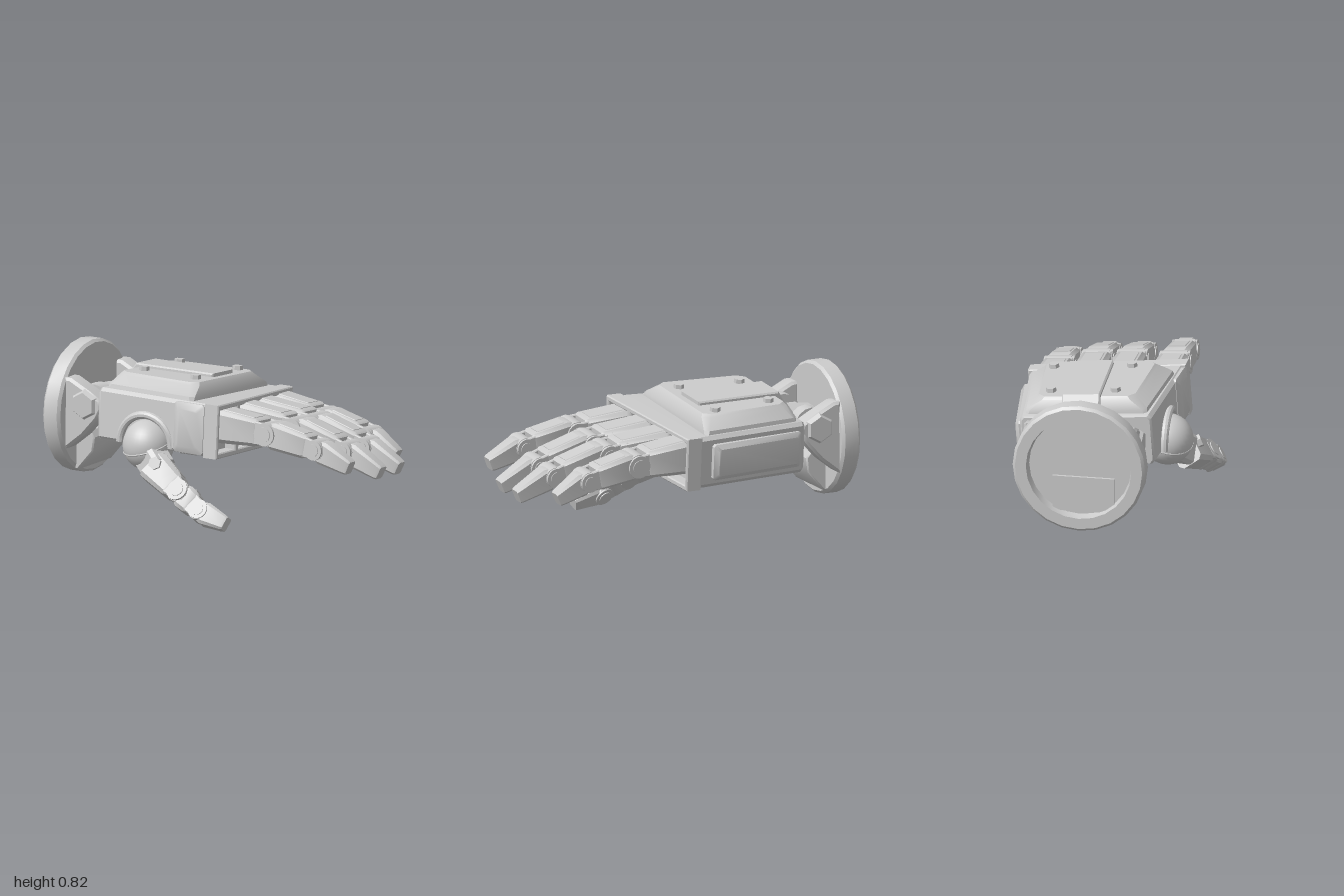
import * as THREE from 'three';
import { toCreasedNormals } from 'three/addons/utils/BufferGeometryUtils.js';

const material = new THREE.MeshStandardMaterial({ color: 0xcccccc });
const TILT = 0.078;

function add(parent, name, geometry, x = 0, y = 0, z = 0) {
  const mesh = new THREE.Mesh(toCreasedNormals(geometry, 0.6), material);
  mesh.name = name;
  mesh.position.set(x, y, z);
  parent.add(mesh);
  return mesh;
}

// Chamfered rectangles [x, height, width, chamfer, yOffset] joined along x
function loft(sections) {
  const rings = sections.map(([x, h, w, c, oy = 0]) => {
    const a = h / 2, b = w / 2;
    return [[a, b - c], [a - c, b], [c - a, b], [-a, b - c], [-a, c - b], [c - a, -b], [a - c, -b], [a, c - b]]
      .map(([y, z]) => [x, y + oy, z]);
  });
  const pos = [];
  const tri = (a, b, c) => pos.push(...a, ...b, ...c);
  for (let k = 0; k < rings.length - 1; k++) {
    for (let i = 0; i < 8; i++) {
      const j = (i + 1) % 8;
      tri(rings[k][i], rings[k][j], rings[k + 1][j]);
      tri(rings[k][i], rings[k + 1][j], rings[k + 1][i]);
    }
  }
  const first = rings[0], last = rings[rings.length - 1];
  for (let i = 1; i < 7; i++) {
    tri(last[0], last[i], last[i + 1]);
    tri(first[0], first[i + 1], first[i]);
  }
  const g = new THREE.BufferGeometry();
  g.setAttribute('position', new THREE.Float32BufferAttribute(pos, 3));
  g.computeVertexNormals();
  return g;
}

// Moves every vertex by a rule
function warp(g, rule) {
  const p = g.attributes.position, v = new THREE.Vector3();
  for (let i = 0; i < p.count; i++) {
    rule(v.fromBufferAttribute(p, i));
    p.setXYZ(i, v.x, v.y, v.z);
  }
  g.computeVertexNormals();
  return g;
}
const flare = (v) => { v.z *= 1 + 0.24 * (v.x - 0.05); };
const skew = (v) => { v.x += 0.08 * v.z; };

function extrude(points, depth, bevel = 0.008, holes = []) {
  const shape = new THREE.Shape(points.map(([x, y]) => new THREE.Vector2(x, y)));
  for (const h of holes) shape.holes.push(new THREE.Path(h.map(([x, y]) => new THREE.Vector2(x, y))));
  const g = new THREE.ExtrudeGeometry(shape, {
    depth: depth - 2 * bevel, bevelSize: bevel, bevelThickness: bevel, bevelOffset: -bevel, bevelSegments: 1,
  });
  return g.translate(0, 0, bevel - depth / 2);
}
const rect = (x0, x1, y0, y1) => [[x0, y0], [x1, y0], [x1, y1], [x0, y1]];
const pin = (r, len, sides = 20) => new THREE.CylinderGeometry(r, r, len, sides).rotateX(Math.PI / 2);

// A jointed finger through points p, hinged about one axis
function chain(name, p, hinge, size) {
  const group = new THREE.Group();
  group.name = name;
  for (let i = 0; i < 3; i++) {
    const [h0, w0, h1, w1] = size[i];
    const d = p[i + 1].clone().sub(p[i]);
    const len = d.length();
    const x = d.normalize();
    const z = hinge.clone().addScaledVector(x, -hinge.dot(x)).normalize();
    const part = new THREE.Group();
    part.name = ['baseSegment', 'middleSegment', 'tipSegment'][i];
    part.quaternion.setFromRotationMatrix(new THREE.Matrix4().makeBasis(x, z.clone().cross(x), z));
    part.position.copy(p[i]);
    group.add(part);
    const s = i ? 0.04 : 0, e = i < 2 ? len - 0.05 : len;
    const c0 = h0 * 0.13, c1 = h1 * 0.13;
    const rings = [[s, h0, w0, c0], [e - 0.015, h1, w1, c1], [e, h1 * 0.88, w1 * 0.88, c1 * 0.8]];
    if (i) rings.unshift([s - 0.03, h0 * 0.85, w0 * 0.85, c0 * 0.8]);
    add(part, 'shell', loft(rings));
    if (i === 2) continue;
    // raised cover over the back of the segment
    add(part, 'cover', loft([[s + 0.02, 0.03, w0 * 0.66, 0.006, h0 / 2 - 0.011],
      [e - 0.035, 0.03, w1 * 0.66, 0.006, h1 / 2 - 0.011]]));
    // cheeks reaching forward to the hinge, with round caps
    for (const side of [-1, 1]) {
      add(part, 'cheek', loft([[e - 0.06, h1 * 0.9, 0.024, 0.005], [len + 0.01, h1 * 0.78, 0.024, 0.005]]),
        0, 0, side * (w1 / 2 - 0.016));
      add(part, 'hingeDisc', pin(h1 * 0.42, 0.028), len, 0, side * (w1 / 2 - 0.015));
      add(part, 'hingeCap', pin(h1 * 0.27, 0.02), len, 0, side * (w1 / 2 - 0.006));
    }
    add(part, 'hingeBarrel', pin(h1 * 0.44, w1 * 0.8), len, 0, 0);
  }
  return group;
}

function wrist() {
  const g = new THREE.Group();
  g.name = 'wrist';
  const profile = [[0, -0.95], [0.28, -0.95], [0.29, -1], [0.35, -1], [0.365, -0.985], [0.365, -0.905],
    [0.35, -0.89], [0, -0.89]];
  add(g, 'wristDisc', new THREE.LatheGeometry(profile.map(([r, y]) => new THREE.Vector2(r, y)), 24)
    .rotateZ(-Math.PI / 2), 0, 0.46, -0.07);
  add(g, 'discInset', new THREE.BoxGeometry(0.02, 0.2, 0.34), -0.955, 0.3, -0.05);
  // lower wedge
  add(g, 'wristWedge', extrude([[-0.9, 0.14], [-0.88, 0.14], [-0.785, 0.25], [-0.775, 0.33], [-0.8, 0.365], [-0.9, 0.365]],
    0.34), 0, 0, -0.05);
  // paired hinge lugs and their hex bolts
  const lug = [[-0.9, 0.27], [-0.88, 0.28], [-0.78, 0.36], [-0.69, 0.46], [-0.66, 0.52], [-0.67, 0.57],
    [-0.74, 0.61], [-0.86, 0.67], [-0.9, 0.67]];
  for (const s of [-1, 1]) {
    add(g, 'outerLug', extrude(lug, 0.11, 0.015), 0, 0, -0.08 + s * 0.255);
    add(g, 'innerLug', pin(0.1, 0.08, 16), -0.77, 0.53, -0.08 + s * 0.17);
    add(g, 'hexBolt', new THREE.CylinderGeometry(0.07, 0.088, 0.025, 6).rotateX(s * Math.PI / 2),
      -0.77, 0.535, -0.08 + s * 0.315);
  }
  add(g, 'wristCore', new THREE.BoxGeometry(0.22, 0.18, 0.28), -0.73, 0.49, -0.08);
  return g;
}

function palm() {
  const g = new THREE.Group();
  g.name = 'palm';
  g.position.set(0, 0.485, -0.085);
  g.rotation.x = -TILT;
  add(g, 'palmBody', warp(loft([[-0.65, 0.27, 0.85, 0.02], [-0.635, 0.287, 0.87, 0.02], [0.06, 0.287, 0.845, 0.02]]),
    (v) => { flare(v); if (v.x > 0) skew(v); }));
  // knuckle frame with four finger sockets
  const sockets = [[0.212, 0.405], [-0.016, 0.175], [-0.21, -0.036], [-0.408, -0.23]];
  add(g, 'knuckleFrame', warp(
    extrude(rect(-0.43, 0.43, -0.148, 0.148), 0.09, 0.006, sockets.map(([a, b]) => rect(a, b, -0.118, 0.118)))
      .rotateY(-Math.PI / 2).translate(0.083, 0, 0), skew));
  // sloped back cover with a ridge and four bolts
  add(g, 'backCover', warp(loft([[0.13, 0.585, 0.8, 0.015], [0.165, 0.58, 0.785, 0.025], [0.215, 0.53, 0.65, 0.04],
    [0.23, 0.505, 0.62, 0.04]]).rotateZ(Math.PI / 2).translate(-0.325, 0, 0), flare));
  add(g, 'backStrip', extrude([[-0.9, 0.03], [-0.7, 0.03], [-0.58, 0.19], [-0.11, 0.19], [-0.11, 0.25],
    [-0.6, 0.25], [-0.7, 0.115], [-0.9, 0.09]], 0.21), 0, 0, -0.035).rotation.y = 0.02;
  for (const [x, z] of [[-0.5, -0.205], [-0.155, -0.25], [-0.5, 0.15], [-0.15, 0.18]]) {
    add(g, 'coverBolt', new THREE.CylinderGeometry(0.028, 0.03, 0.035, 6), x, 0.235, z);
  }
  // raised panels on both sides
  const panel = (w, h, inset) => loft([[-0.03, h, w, 0.012], [0.02, h, w, 0.012], [0.04, h - inset, w - inset, 0.012]]);
  add(g, 'outerSidePanel', panel(0.56, 0.2, 0.05).rotateY(Math.PI / 2), -0.34, 0, -0.387).rotation.y = 0.11;
  add(g, 'thumbSidePanel', panel(0.2, 0.275, 0.07).rotateY(-Math.PI / 2), -0.03, 0, 0.397).rotation.y = -0.09;
  // stepped plate under the palm
  add(g, 'palmPlate', extrude([[-0.62, -0.32], [-0.02, -0.38], [-0.01, 0.36], [-0.12, 0.36], [-0.17, 0.25],
    [-0.33, 0.25], [-0.39, 0.14], [-0.62, 0.14]], 0.03, 0.005).rotateX(Math.PI / 2), 0, -0.14, 0);
  return g;
}

function thumb() {
  const g = new THREE.Group();
  g.name = 'thumb';
  // arched socket and ball
  add(g, 'socketArch', new THREE.TorusGeometry(0.165, 0.022, 10, 28, Math.PI), -0.32, 0.385, 0.31);
  add(g, 'thumbBall', new THREE.SphereGeometry(0.14, 32, 20), -0.31, 0.385, 0.3);
  add(g, 'ballSeam', new THREE.TorusGeometry(0.139, 0.005, 6, 36), -0.31, 0.385, 0.3)
    .rotation.set(Math.PI / 2 + 0.25, 0.2, 0);
  const joints = [[-0.215, 0.285, 0.378], [0, 0.178, 0.45], [0.135, 0.1, 0.47], [0.298, 0.05, 0.467]]
    .map((a) => new THREE.Vector3(...a));
  const hinge = new THREE.Vector3(0.25, 0.45, 0.85).normalize();
  g.add(chain('thumbSegments', joints, hinge,
    [[0.175, 0.145, 0.145, 0.13], [0.14, 0.12, 0.13, 0.12], [0.125, 0.105, 0.085, 0.075]]));
  // neck bracket between ball and first segment
  add(g, 'thumbNeck', loft([[-0.08, 0.17, 0.14, 0.02], [0.05, 0.165, 0.14, 0.02]]), -0.22, 0.3, 0.365)
    .quaternion.setFromUnitVectors(new THREE.Vector3(1, 0, 0), new THREE.Vector3(0.7, -0.5, 0.35).normalize());
  add(g, 'neckBolt', pin(0.036, 0.17, 6), -0.19, 0.3, 0.385).rotation.set(-0.4, 0.25, 0);
  return g;
}

export function createModel() {
  const model = new THREE.Group();
  model.name = 'mechanicalHand';
  model.add(wrist(), palm(), thumb());

  // z, then the x, y of knuckle, two joints and tip
  const fingers = {
    indexFinger: [0.215, [0.08, 0.535], [0.43, 0.525], [0.735, 0.475], [0.935, 0.395]],
    middleFinger: [-0.022, [0.07, 0.525], [0.45, 0.51], [0.77, 0.425], [0.982, 0.327]],
    ringFinger: [-0.213, [0.06, 0.51], [0.45, 0.495], [0.77, 0.41], [0.978, 0.315]],
    littleFinger: [-0.41, [0.05, 0.495], [0.37, 0.475], [0.66, 0.415], [0.835, 0.327]],
  };
  const hinge = new THREE.Vector3(0, TILT, 1).normalize();
  for (const [name, [z, ...points]] of Object.entries(fingers)) {
    model.add(chain(name, points.map(([x, y]) => new THREE.Vector3(x, y, z)), hinge,
      [[0.19, 0.182, 0.15, 0.17], [0.15, 0.148, 0.13, 0.14], [0.13, 0.105, 0.085, 0.075]]));
  }
  return model;
}
